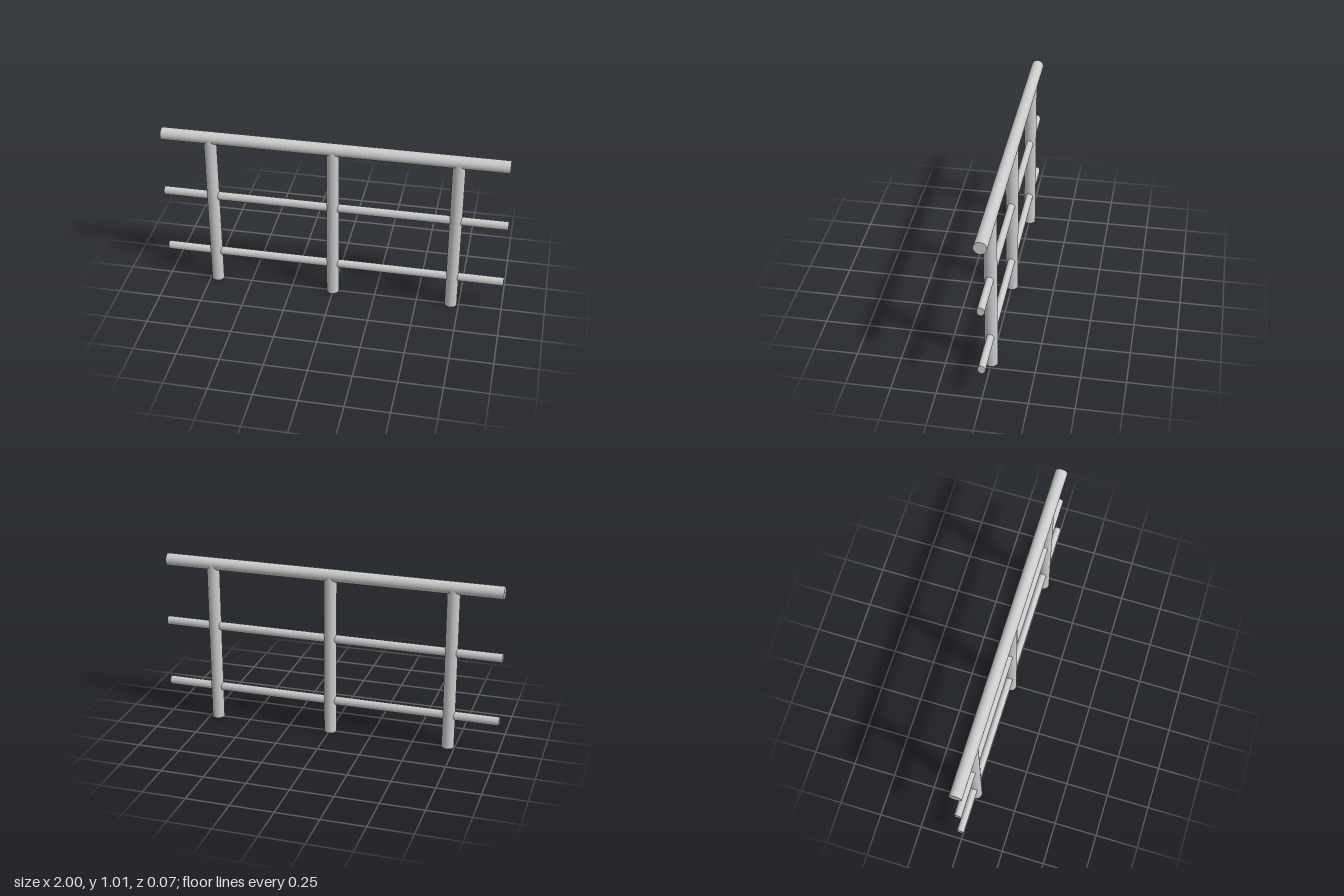
import * as THREE from 'three';

export function createModel() {
  const group = new THREE.Group();
  const material = new THREE.MeshStandardMaterial({ color: 0xcccccc });

  const add = (name, geometry, x, y) => {
    const mesh = new THREE.Mesh(geometry, material);
    mesh.name = name;
    mesh.position.set(x, y, 0);
    group.add(mesh);
  };

  // Horizontal bar along x, with an oval section if the radii differ
  const bar = (length, radiusY, radiusZ) =>
    new THREE.CylinderGeometry(1, 1, length, 48)
      .rotateZ(Math.PI / 2)
      .scale(1, radiusY, radiusZ);

  // Handrail
  const railY = 0.97;
  add('handrail', bar(1.974, 0.036, 0.036), -0.003, railY);

  // Oval rails passing through the posts
  add('middleRail', bar(2, 0.026, 0.021), 0, 0.587);
  add('lowerRail', bar(2, 0.026, 0.021), 0, 0.2);

  // Posts, their tops buried in the handrail
  const post = new THREE.CylinderGeometry(0.036, 0.036, railY, 48);
  [['rightPost', -0.709], ['middlePost', -0.003], ['leftPost', 0.703]].forEach(
    ([name, x]) => add(name, post, x, railY / 2)
  );

  return group;
}
